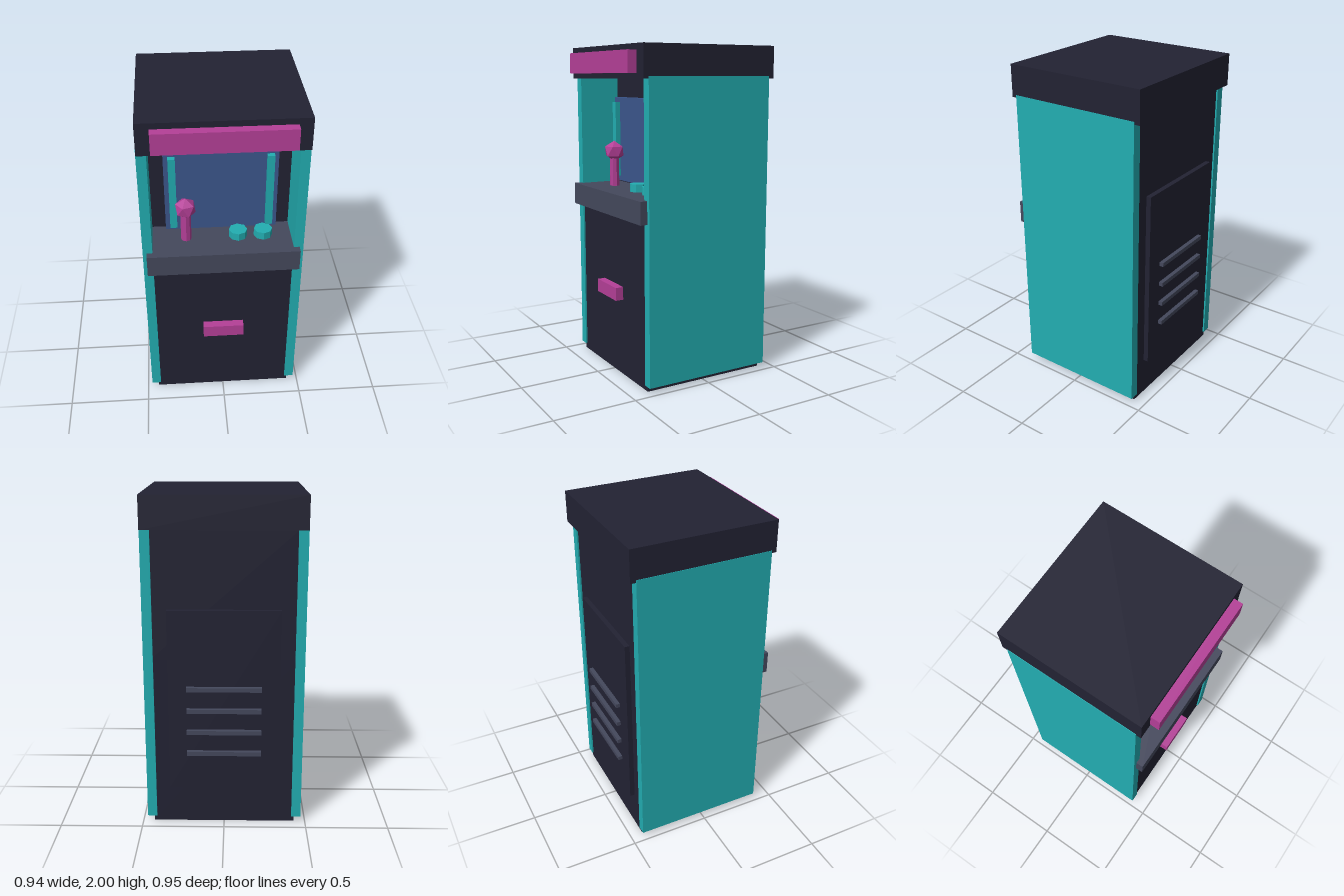
import * as THREE from 'three';

const material = (name, color) => {
  const m = new THREE.MeshStandardMaterial({ color, flatShading: true });
  m.name = name;
  return m;
};

export function createModel() {
  const dark = material('midnight', 0x222233);
  const teal = material('teal', 0x22adb1);
  const pink = material('pink', 0xb43f97);
  const slate = material('slate', 0x44485c);
  const blue = material('screenBlue', 0x3b568c);

  const cabinet = new THREE.Group();
  cabinet.name = 'arcadeCabinet';

  const add = (name, geometry, mat, x, y, z) => {
    const mesh = new THREE.Mesh(geometry, mat);
    mesh.name = name;
    mesh.position.set(x, y, z);
    cabinet.add(mesh);
    return mesh;
  };
  // Box given by its extents on each axis
  const box = (name, mat, [x0, x1], [y0, y1], [z0, z1]) =>
    add(name, new THREE.BoxGeometry(x1 - x0, y1 - y0, z1 - z0), mat,
      (x0 + x1) / 2, (y0 + y1) / 2, (z0 + z1) / 2);

  // Body: deep base, shallower upper part behind the screen recess
  box('lowerBody', dark, [-0.43, 0.43], [0, 1.05], [-0.42, 0.38]);
  box('upperBody', dark, [-0.43, 0.43], [1.05, 1.815], [-0.42, 0.13]);
  box('topCap', dark, [-0.469, 0.469], [1.808, 2], [-0.464, 0.42]);
  box('marquee', pink, [-0.39, 0.39], [1.84, 1.965], [0.41, 0.475]);

  // Screen
  box('screen', blue, [-0.332, 0.332], [1.157, 1.69], [0.12, 0.19]);

  // Side walls and screen light strips, mirrored
  for (const s of [-1, 1]) {
    const span = (a, b) => (s > 0 ? [a, b] : [-b, -a]);
    box('sidePanel', teal, span(0.415, 0.472), [0.035, 1.823], [-0.43, 0.39]);
    box('screenStrip', teal, span(0.263, 0.305), [1.188, 1.66], [0.185, 0.222]);
  }

  // Control deck
  box('controlDeck', slate, [-0.449, 0.449], [1, 1.135], [0.05, 0.434]);
  add('joystickShaft', new THREE.CylinderGeometry(0.031, 0.031, 0.2, 8), pink, -0.213, 1.23, 0.26);
  const ball = new THREE.IcosahedronGeometry(0.066, 0);
  ball.rotateX(-Math.atan((1 + Math.sqrt(5)) / 2)).rotateY(-Math.PI / 2);
  add('joystickBall', ball, pink, -0.213, 1.355, 0.26);
  for (const x of [0.097, 0.247]) {
    add('button', new THREE.CylinderGeometry(0.055, 0.055, 0.05, 8), teal, x, 1.158, 0.253);
  }

  // Coin slot
  box('coinSlot', pink, [-0.125, 0.125], [0.48, 0.56], [0.37, 0.43]);

  // Rear service hatch with vents
  box('rearHatch', dark, [-0.33, 0.33], [0.24, 1.35], [-0.45, -0.41]);
  for (let i = 0; i < 4; i++) {
    const y = 0.475 + i * 0.135;
    box('vent', slate, [-0.221, 0.221], [y - 0.013, y + 0.013], [-0.475, -0.44]);
  }

  return cabinet;
}
